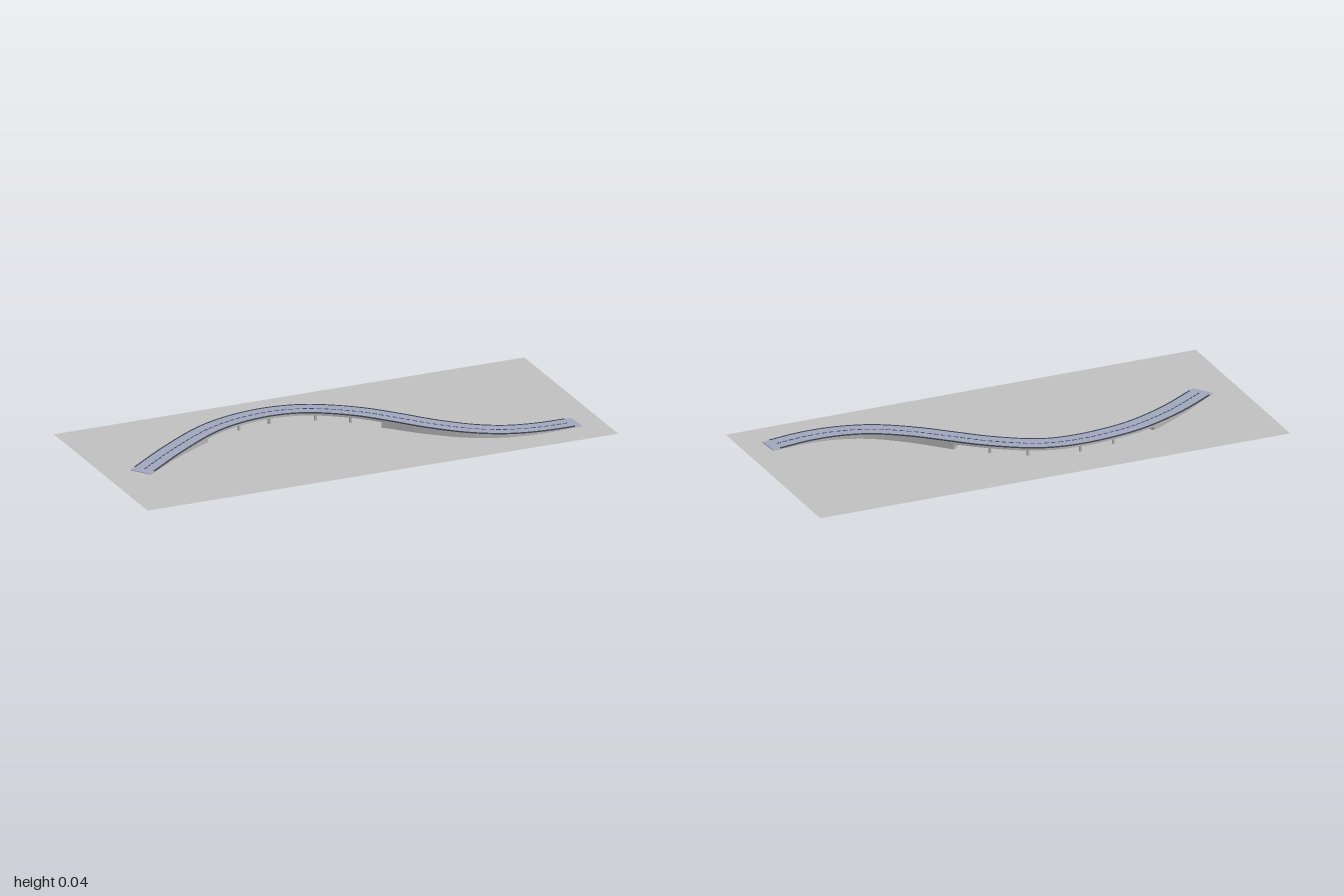
import * as THREE from 'three';

const material = (name, color, side = THREE.FrontSide) => {
  const m = new THREE.MeshStandardMaterial({ color, side });
  m.name = name;
  return m;
};

// Road centre line, rising on embankments to a flat bridge: x, y (surface), z
const path = new THREE.CatmullRomCurve3([
  [-0.86, 0.003, 0.065], [-0.66, 0.015, -0.075], [-0.465, 0.029, -0.182], [-0.33, 0.035, -0.222],
  [-0.2, 0.037, -0.236], [-0.09, 0.037, -0.225], [0, 0.037, -0.192], [0.14, 0.036, -0.097],
  [0.245, 0.033, 0.005], [0.35, 0.028, 0.112], [0.48, 0.022, 0.212], [0.6, 0.016, 0.262],
  [0.73, 0.011, 0.28], [0.9, 0.004, 0.27],
].map((p) => new THREE.Vector3(...p)), false, 'centripetal');

// Curve position for a given x (x always increases along the road)
function at(x) {
  let lo = 0, hi = 1;
  for (let i = 0; i < 30; i++) {
    const mid = (lo + hi) / 2;
    if (path.getPointAt(mid).x < x) lo = mid; else hi = mid;
  }
  return (lo + hi) / 2;
}

// Point beside the centre line, with level sideways direction
function offset(u, d) {
  const p = path.getPointAt(u), t = path.getTangentAt(u);
  const n = new THREE.Vector3(-t.z, 0, t.x).normalize();
  return p.addScaledVector(n, d);
}

// Rectangular bar swept along the road between offsets a and b
function sweep(u0, u1, a, b, bottom, top, steps) {
  const pos = [];
  const ring = (u) => [[a, bottom], [a, top], [b, top], [b, bottom]].map(([d, h]) => {
    const p = offset(u, d);
    p.y = h(p.y);
    return p;
  });
  const quad = (p, q, r, s) => [p, q, r, p, r, s].forEach((v) => pos.push(v.x, v.y, v.z));
  let prev = ring(u0);
  quad(...prev.slice().reverse());
  for (let i = 1; i <= steps; i++) {
    const next = ring(u0 + (u1 - u0) * i / steps);
    for (let k = 0; k < 4; k++) {
      const j = (k + 1) % 4;
      quad(prev[k], prev[j], next[j], next[k]);
    }
    prev = next;
  }
  quad(...prev);
  // Face the surfaces outwards
  for (let i = 0; i < pos.length; i += 9) {
    for (let c = 0; c < 3; c++) [pos[i + 3 + c], pos[i + 6 + c]] = [pos[i + 6 + c], pos[i + 3 + c]];
  }
  const g = new THREE.BufferGeometry();
  g.setAttribute('position', new THREE.Float32BufferAttribute(pos, 3));
  g.computeVertexNormals();
  return g;
}

export function createModel() {
  const root = new THREE.Group();
  root.name = 'curvedRoadBridge';
  const groundGrey = material('groundGrey', 0xc0c0c0, THREE.DoubleSide);
  const concrete = material('concrete', 0xb4b4b4, THREE.DoubleSide);
  const asphalt = material('blueGreyRoad', 0xa0a8be, THREE.DoubleSide);
  const dark = material('darkLines', 0x414654, THREE.DoubleSide);
  const add = (name, geometry, mat, parent = root) => {
    const m = new THREE.Mesh(geometry, mat);
    m.name = name;
    parent.add(m);
    return m;
  };
  const above = (h) => (y) => y + h;
  const floor = () => 0.0005;

  // Ground sheet
  add('ground', new THREE.PlaneGeometry(2, 0.89).rotateX(-Math.PI / 2), groundGrey);

  // Solid embankments and the slab between them
  const uA = at(-0.51), uB = at(0.22), half = 0.045;
  add('leftRamp', sweep(0, uA, -half, half, floor, above(-0.001), 30), concrete);
  add('rightRamp', sweep(uB, 1, -half, half, floor, above(-0.001), 40), concrete);
  add('bridgeDeck', sweep(uA, uB, -half, half, above(-0.011), above(-0.001), 40), concrete);

  // Road surface and edge kerbs
  add('roadSurface', sweep(0, 1, -half, half, above(-0.001), above(0), 100), asphalt);
  for (const s of [-1, 1]) {
    const e = [s * 0.041, s * 0.0455].sort((p, q) => p - q);
    add('edgeKerb', sweep(0.015, 0.985, e[0], e[1], above(-0.002), above(0.002), 100), dark);
  }

  // Dashed centre line
  const centreLine = new THREE.Group();
  centreLine.name = 'centreLine';
  root.add(centreLine);
  const dashes = 70;
  for (let i = 0; i < dashes; i++) {
    const u = 0.015 + 0.97 * i / dashes;
    add('centreDash', sweep(u, u + 0.0095, -0.0025, 0.0025, above(-0.0005), above(0.0008), 1), dark, centreLine);
  }

  // Pairs of bridge columns
  for (const x of [-0.33, -0.19, 0, 0.12]) {
    const u = at(x);
    for (const d of [-0.028, 0.028]) {
      const p = offset(u, d), h = p.y - 0.01;
      add('column', new THREE.CylinderGeometry(0.006, 0.006, h, 12), concrete).position.set(p.x, h / 2, p.z);
    }
  }
  return root;
}
